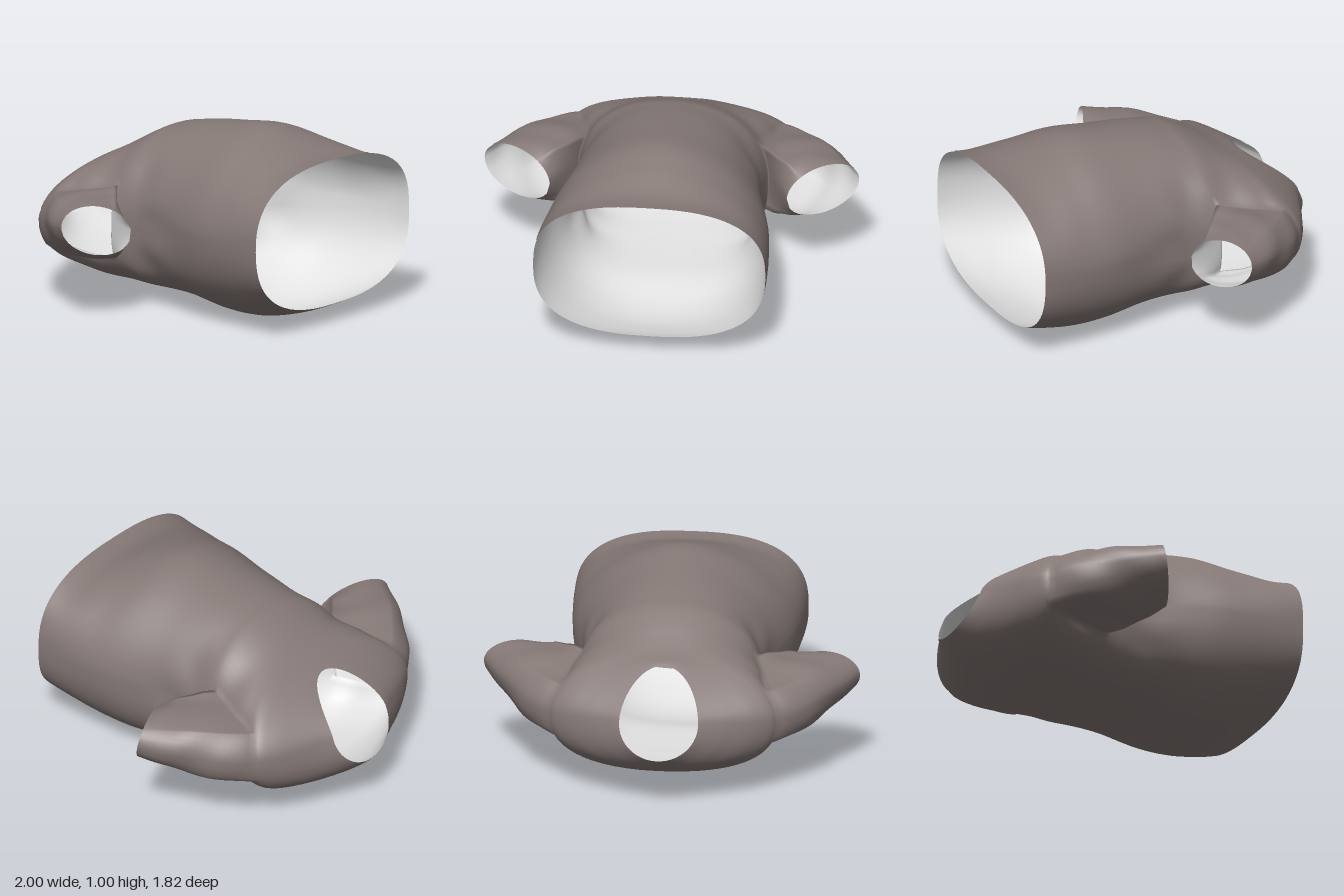
import * as THREE from 'three';

// Torso cross-sections from hem to neck:
// z at front, side, back | half width | top y | bottom y | widest y | roundness above, below
const SECTIONS = [
  [0.905, 0.89, 0.905, 0.62, 0.89, 0.10, 0.50, 2.6, 2.6],
  [0.78, 0.78, 0.78, 0.618, 0.89, 0.05, 0.50, 2.4, 2.4],
  [0.60, 0.60, 0.60, 0.605, 0.955, 0.005, 0.50, 1.95, 2.3],
  [0.42, 0.42, 0.42, 0.58, 1.00, 0.005, 0.50, 1.8, 2.4],
  [0.20, 0.20, 0.20, 0.525, 0.975, 0.05, 0.49, 1.9, 2.8],
  [0.00, 0.00, 0.00, 0.485, 0.945, 0.06, 0.47, 2.1, 3.1],
  [-0.12, -0.13, -0.13, 0.49, 0.92, 0.065, 0.46, 2.1, 3.2],
  [-0.20, -0.22, -0.22, 0.505, 0.90, 0.07, 0.45, 2.1, 3.2],
  [-0.31, -0.36, -0.36, 0.54, 0.845, 0.08, 0.44, 2, 3],
  [-0.40, -0.50, -0.50, 0.58, 0.79, 0.10, 0.44, 2, 2.8],
  [-0.46, -0.62, -0.62, 0.605, 0.755, 0.125, 0.44, 2, 2.5],
  [-0.50, -0.69, -0.73, 0.52, 0.735, 0.165, 0.45, 2, 2.3],
  [-0.535, -0.75, -0.81, 0.39, 0.72, 0.205, 0.46, 2, 2.1],
  [-0.555, -0.795, -0.87, 0.28, 0.71, 0.25, 0.47, 2, 2],
  [-0.57, -0.83, -0.91, 0.21, 0.70, 0.29, 0.47, 2, 2],
];
const STEPS = 5;                          // rows between sections
const ROWS = (SECTIONS.length - 1) * STEPS;
const COLS = 72;
// Armhole in grid cells: first and last row, columns below and above the side line
const HOLE = { r0: 7 * STEPS, r1: 10 * STEPS, lo: 4, hi: 5 };
const SLEEVE_STEPS = 18;

// Smooth interpolation of the section table
function sectionAt(row) {
  const i = Math.min(Math.floor(row / STEPS), SECTIONS.length - 2);
  const t = row / STEPS - i;
  const pick = (k) => SECTIONS[Math.max(0, Math.min(SECTIONS.length - 1, k))];
  const [a, b, c, d] = [pick(i - 1), pick(i), pick(i + 1), pick(i + 2)];
  return b.map((p, k) => p + 0.5 * t * (c[k] - a[k]
    + t * (2 * a[k] - 5 * p + 4 * c[k] - d[k] + t * (3 * (p - c[k]) + d[k] - a[k]))));
}

function torsoPoint(row, col) {
  const [zF, zS, zB, w, top, bottom, midY, above, below] = sectionAt(row);
  const a = (col / COLS) * Math.PI * 2;
  const c = Math.cos(a), s = Math.sin(a);
  const n = s > 0 ? above : below;
  const curve = (v) => Math.sign(v) * Math.pow(Math.abs(v), 2 / n);
  let x = w * curve(c);
  let y = midY + (s > 0 ? top - midY : midY - bottom) * curve(s);
  const z = s > 0 ? zS + (zF - zS) * Math.pow(s, 1.5) : zS + (zB - zS) * -s;
  // Cloth folds fanning out from the armpit
  const dy = y - 0.45, dz = z + 0.2;
  const r = Math.hypot(dy, dz);
  const fold = 0.014 * Math.abs(c) * Math.sin(7 * Math.atan2(dz, dy) + 3 * r)
    * Math.exp(-Math.pow((r - 0.3) / 0.1, 2));
  x *= 1 + fold;
  y += (y - midY) * fold * 1.5;
  return [x, y, z];
}

function buildShirt() {
  const positions = [];
  const add = (p) => positions.push(...p) / 3 - 1;
  const at = (i) => positions.slice(i * 3, i * 3 + 3);
  const quad = (list, a, b, c, d) => list.push(a, d, b, b, d, c);
  const { r0, r1, lo, hi } = HOLE;

  // Torso grid with an armhole on each side
  const torso = [];
  for (let i = 0; i <= ROWS; i++) for (let j = 0; j < COLS; j++) add(torsoPoint(i, j));
  const id = (i, j) => i * COLS + ((j + COLS) % COLS);
  const gaps = [[-lo, hi], [COLS / 2 - hi, COLS / 2 + lo], [COLS - lo, COLS + hi]];
  const inHole = (i, j) => i >= r0 && i < r1 && gaps.some(([a, b]) => j >= a && j < b);
  for (let i = 0; i < ROWS; i++) for (let j = 0; j < COLS; j++) {
    if (!inHole(i, j)) quad(torso, id(i, j), id(i, j + 1), id(i + 1, j + 1), id(i + 1, j));
  }

  // Sleeve lofted from the armhole edge to a tilted oval cuff
  function sleeve(side) {
    const mid = side > 0 ? 0 : COLS / 2;
    let ring = [];
    for (let j = -lo; j < hi; j++) ring.push(id(r0, mid + side * j));
    for (let i = r0; i < r1; i++) ring.push(id(i, mid + side * hi));
    for (let j = hi; j > -lo; j--) ring.push(id(r1, mid + side * j));
    for (let i = r1; i > r0; i--) ring.push(id(i, mid - side * lo));
    if (side < 0) ring.reverse();
    const root = ring.map(at);
    const angle = root.map(([, y, z]) => Math.atan2((y - 0.44) / 0.17, -(z + 0.41) / 0.2));
    const faces = [];
    for (let k = 1; k <= SLEEVE_STEPS; k++) {
      const t = k / SLEEVE_STEPS;
      const swell = Math.sin(Math.PI * t);
      const shoulder = 0.038 * Math.sin(Math.PI * Math.pow(t, 0.75));
      const next = root.map(([x, y, z], n) => {
        const co = Math.cos(angle[n]), si = Math.sin(angle[n]);
        const crease = 0.006 * swell * Math.sin(10 * t + 3 * angle[n]);
        const out = (shoulder + crease) * Math.max(0, co);
        const cuff = [
          side * (0.815 + 0.185 * co),
          0.495 + 0.13 * si + 0.025 * co,
          -0.055 - 0.085 * co - 0.025 * si,
        ];
        return add([
          x + (cuff[0] - x) * t + side * out,
          y + (cuff[1] - y) * t + (0.025 * swell + crease) * si,
          z + (cuff[2] - z) * t - out * 0.6,
        ]);
      });
      ring.forEach((p, n) => {
        const m = (n + 1) % ring.length;
        quad(faces, p, ring[m], next[m], next[n]);
      });
      ring = next;
    }
    return faces;
  }
  const parts = { torso, leftSleeve: sleeve(1), rightSleeve: sleeve(-1) };

  // Shared smooth normals across the seams
  const whole = new THREE.BufferGeometry();
  whole.setAttribute('position', new THREE.Float32BufferAttribute(positions, 3));
  whole.setIndex(Object.values(parts).flat());
  whole.computeVertexNormals();
  return { whole, parts };
}

export function createModel() {
  const fabric = new THREE.MeshStandardMaterial({ color: 0x857976 });
  fabric.name = 'taupe fabric';
  const inside = new THREE.MeshStandardMaterial({ color: 0xe4e4e4 });
  inside.name = 'pale lining';

  const shirt = new THREE.Group();
  shirt.name = 'shirt';
  const { whole, parts } = buildShirt();
  const pos = whole.getAttribute('position');
  const nor = whole.getAttribute('normal');

  // Lining: the same cloth set slightly inward and turned to face inside
  const liningPos = pos.clone(), liningNor = nor.clone();
  for (let i = 0; i < pos.count * 3; i++) {
    liningPos.array[i] -= nor.array[i] * 0.003;
    liningNor.array[i] *= -1;
  }

  const addMesh = (name, p, n, index, material) => {
    const g = new THREE.BufferGeometry();
    g.setAttribute('position', p);
    g.setAttribute('normal', n);
    g.setIndex(index);
    const mesh = new THREE.Mesh(g, material);
    mesh.name = name;
    shirt.add(mesh);
  };
  for (const [name, index] of Object.entries(parts)) {
    addMesh(name, pos, nor, index, fabric);
    addMesh(name + 'Lining', liningPos, liningNor, [...index].reverse(), inside);
  }
  return shirt;
}
